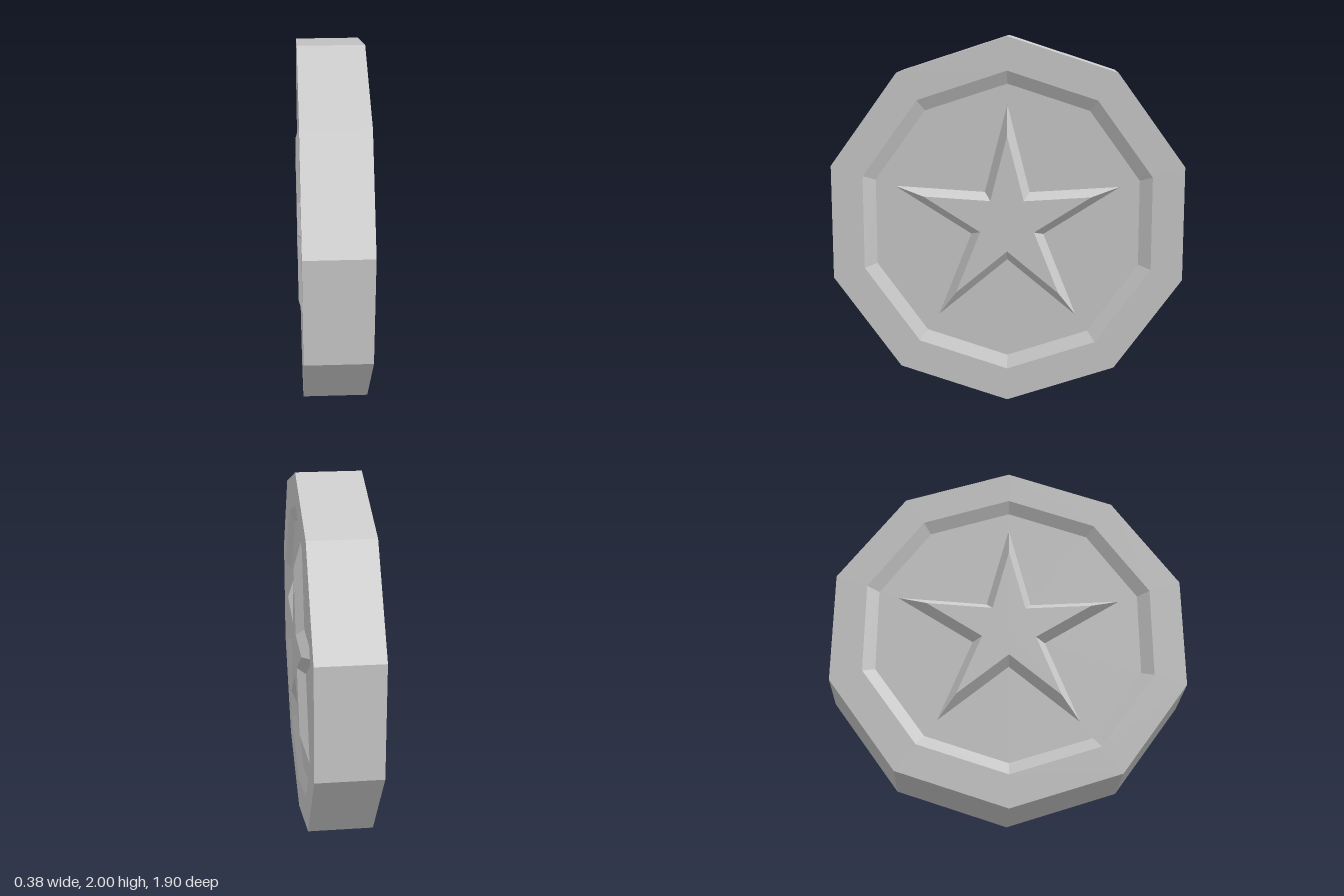
import * as THREE from 'three';

const SIDES = 10;
const RIM = 0.175;     // half thickness at the rim
const FLOOR = 0.145;   // half thickness at the recessed face
const STAR_TOP = 0.19; // height of the star's flat top

// Five-pointed star with sloping sides: a ten-sided tapered drum whose odd corners are pulled in
function starGeometry() {
  const g = new THREE.CylinderGeometry(0.475, 0.64, STAR_TOP - FLOOR, SIDES, 1, false, -Math.PI / 2);
  const p = g.attributes.position;
  for (let i = 0; i < p.count; i++) {
    const x = p.getX(i), z = p.getZ(i);
    const corner = Math.round(Math.atan2(z, -x) / (Math.PI / 5));
    if (corner % 2 !== 0) {
      p.setX(i, x * 0.322);
      p.setZ(i, z * 0.322);
    }
  }
  g.rotateZ(-Math.PI / 2); // spike up, top facing +x
  g.translate((STAR_TOP + FLOOR) / 2, 0, 0);
  g.computeVertexNormals();
  return g;
}

export function createModel() {
  const group = new THREE.Group();
  group.name = 'coin';
  const material = new THREE.MeshStandardMaterial({ color: 0xcccccc, flatShading: true });

  // Ten-sided disc with a raised rim and a bevelled recess on both faces
  const profile = [
    [0, -FLOOR], [0.75, -FLOOR], [0.82, -RIM], [1, -RIM],
    [1, RIM], [0.82, RIM], [0.75, FLOOR], [0, FLOOR],
  ].map(([r, h]) => new THREE.Vector2(r, h));
  const discGeometry = new THREE.LatheGeometry(profile, SIDES, Math.PI / 2);
  discGeometry.rotateZ(-Math.PI / 2);
  const disc = new THREE.Mesh(discGeometry, material);
  disc.name = 'disc';
  disc.position.y = 1;
  group.add(disc);

  // Raised star on each face
  const star = starGeometry();
  ['leftStar', 'rightStar'].forEach((name, i) => {
    const mesh = new THREE.Mesh(star, material);
    mesh.name = name;
    mesh.position.y = 1;
    mesh.rotation.y = i * Math.PI;
    group.add(mesh);
  });

  return group;
}
